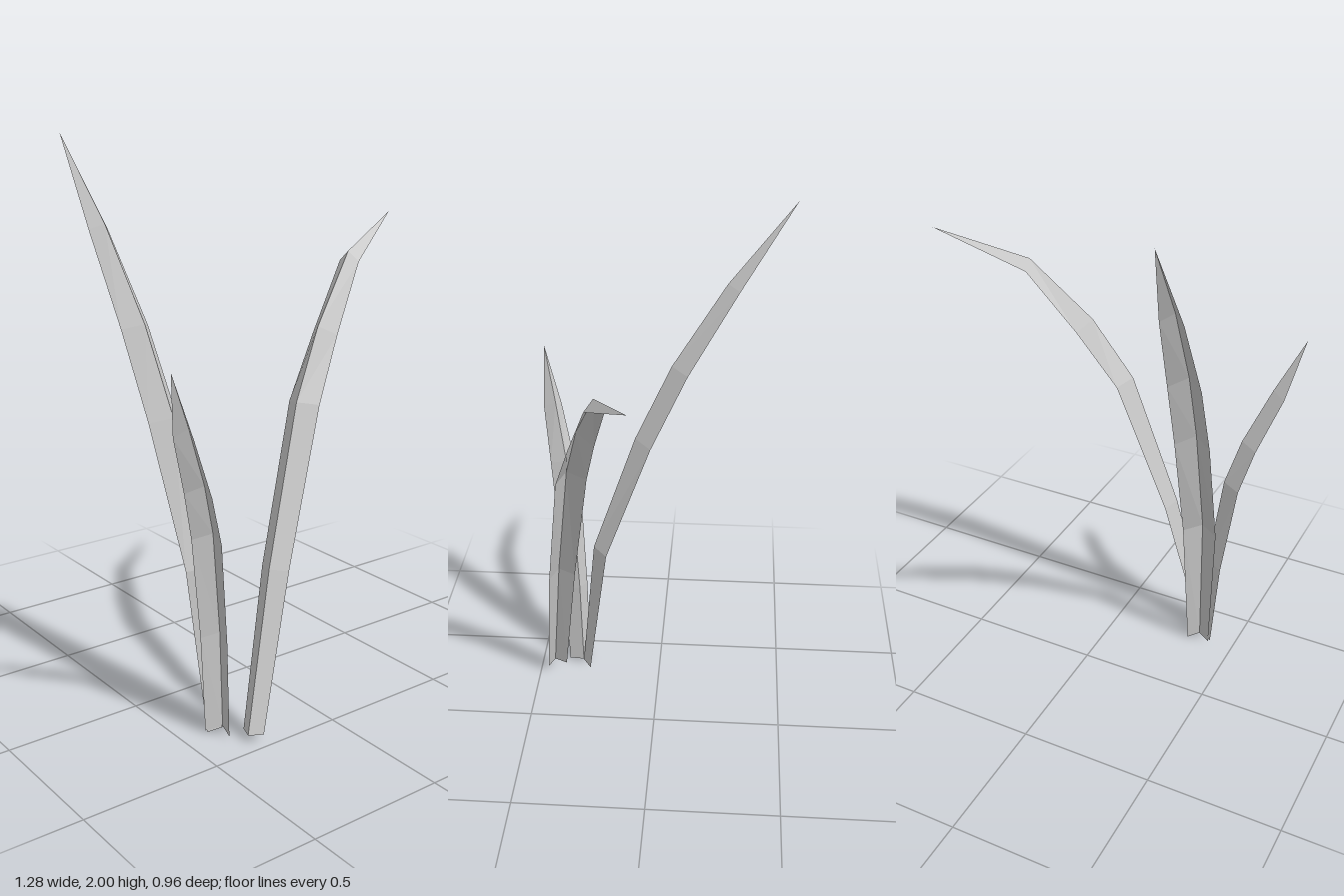
import * as THREE from 'three';

const material = new THREE.MeshStandardMaterial({
  color: 0xcccccc, flatShading: true, side: THREE.DoubleSide,
});

// A folded blade: a central ridge with two mirrored edges, ending in a point.
// Each ring: [ridge distance along lean, ridge height, edge inset, edge drop, half width]
function blade(name, root, tip, rings) {
  const lean = new THREE.Vector3(tip[0] - root[0], 0, tip[2] - root[1]).normalize();
  const across = new THREE.Vector3(lean.z, 0, -lean.x);
  const positions = [];
  const index = [];
  const put = (along, y, side) => positions.push(
    root[0] + lean.x * along + across.x * side, y,
    root[1] + lean.z * along + across.z * side);

  for (const [s, y, inset, drop, half] of rings) {
    put(s + inset, y - drop, -half);
    put(s, y, 0);
    put(s + inset, y - drop, half);
  }
  positions.push(...tip);

  // Two strips, one on each side of the ridge
  const last = (rings.length - 1) * 3;
  const end = rings.length * 3;
  for (let side = 0; side < 2; side++) {
    for (let i = side; i < last; i += 3) {
      index.push(i, i + 3, i + 1, i + 1, i + 3, i + 4);
    }
    index.push(last + side, end, last + side + 1);
  }

  const geometry = new THREE.BufferGeometry();
  geometry.setAttribute('position', new THREE.Float32BufferAttribute(positions, 3));
  geometry.setIndex(index);
  geometry.computeVertexNormals();
  const mesh = new THREE.Mesh(geometry, material);
  mesh.name = name;
  return mesh;
}

export function createModel() {
  const group = new THREE.Group();
  group.name = 'grassTuft';
  group.add(
    // Long blade arching to the left
    blade('archingBlade', [-0.33, 0.445], [0.64, 1.70, 0.035], [
      [0, 0.03, 0.038, 0.003, 0.04],
      [0.141, 0.585, 0.045, 0.012, 0.052],
      [0.326, 1.125, 0.058, 0.015, 0.058],
      [0.478, 1.36, 0.057, 0.035, 0.047],
      [0.706, 1.592, 0.011, 0.037, 0.037],
    ]),
    // Tallest blade leaning backwards
    blade('tallBlade', [-0.353, 0.325], [-0.457, 2.0, -0.48], [
      [0, 0.015, 0.027, 0.012, 0.043],
      [0.057, 0.59, 0.047, 0.01, 0.064],
      [0.228, 1.08, 0.055, 0.018, 0.064],
      [0.368, 1.38, 0.055, 0.018, 0.059],
      [0.57, 1.70, 0.04, 0.018, 0.04],
    ]),
    // Short blade leaning forwards and to the right
    blade('shortBlade', [-0.35, 0.325], [-0.64, 1.345, 0.478], [
      [0, 0.02, 0.041, 0.008, 0.046],
      [0.017, 0.38, 0.045, 0.012, 0.05],
      [0.062, 0.75, 0.047, 0.015, 0.055],
      [0.119, 0.93, 0.045, 0.02, 0.05],
      [0.22, 1.145, 0.035, 0.025, 0.037],
    ]),
  );
  return group;
}
